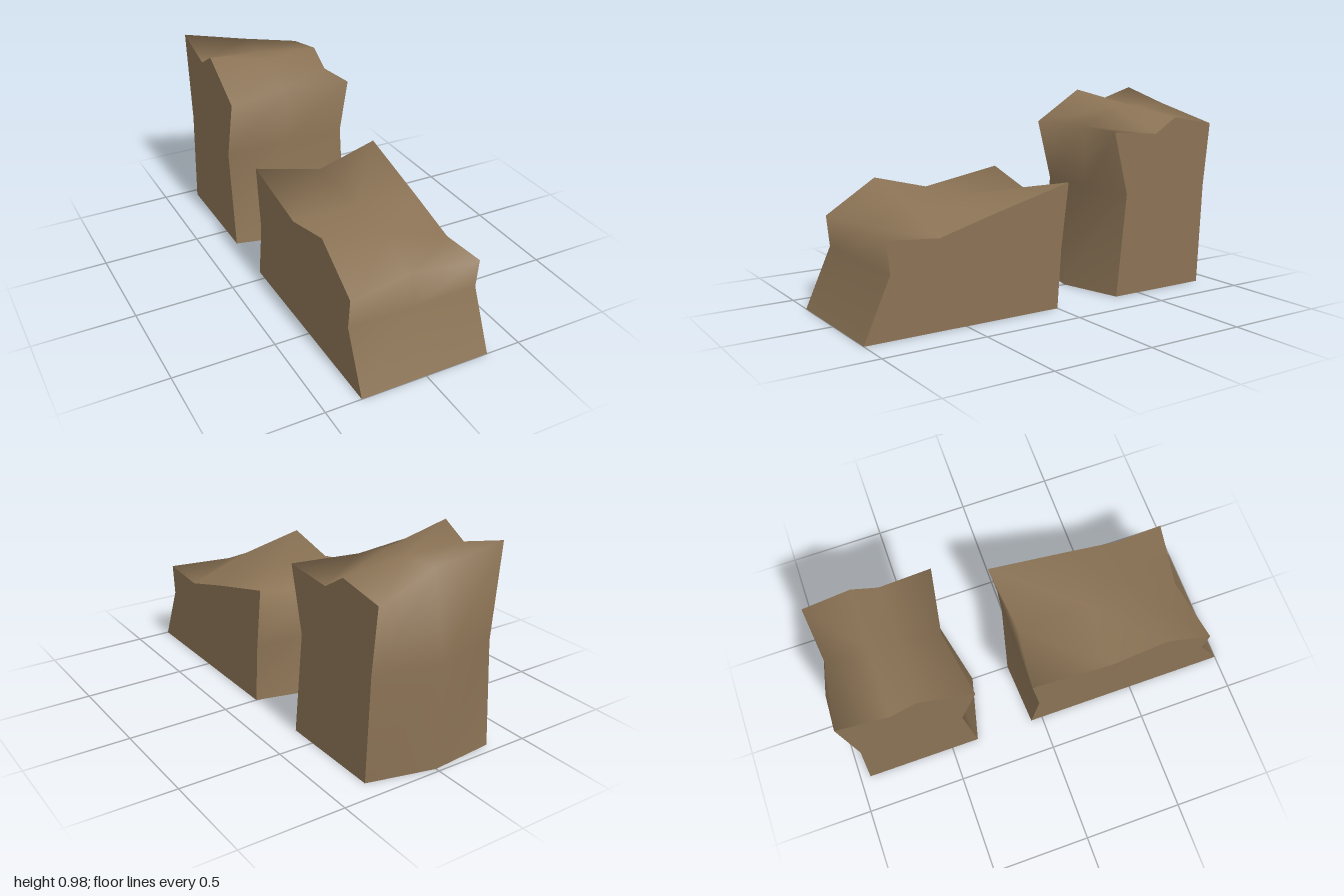
import * as THREE from 'three';

const HALF = 0.325;
const stone = new THREE.MeshStandardMaterial({ color: 0x8b7355, side: THREE.DoubleSide });
stone.name = 'brown stone';

// Smooth shell, open underneath, lofted through [z, y] profiles running front to back
function shell(profiles) {
  const n = profiles[0].length;
  const positions = [];
  const index = [];
  profiles.forEach((profile, i) => {
    const x = -HALF + (2 * HALF * i) / (profiles.length - 1);
    for (const [z, y] of profile) positions.push(x, y, z);
  });
  for (let i = 0; i < profiles.length - 1; i++) {
    for (let j = 0; j < n - 1; j++) {
      const a = i * n + j, b = a + n;
      index.push(a, b, b + 1, a, b + 1, a + 1);
    }
  }
  const geometry = new THREE.BufferGeometry();
  geometry.setAttribute('position', new THREE.Float32BufferAttribute(positions, 3));
  geometry.setIndex(index);
  geometry.computeVertexNormals();
  return geometry;
}

// Flat end wall; side is +1 for the left end and -1 for the right end
function endWall(profile, side) {
  const shape = new THREE.Shape(profile.map(([z, y]) => new THREE.Vector2(-side * z, y)));
  return new THREE.ShapeGeometry(shape)
    .rotateY(side * Math.PI / 2)
    .translate(side * HALF, 0, 0);
}

function block(name, right, middle, left) {
  const group = new THREE.Group();
  group.name = name;
  const add = (part, geometry) => {
    const mesh = new THREE.Mesh(geometry, stone);
    mesh.name = part;
    group.add(mesh);
  };
  add('shell', shell([right, middle, left]));
  add('rightEnd', endWall(right, -1));
  add('leftEnd', endWall(left, 1));
  return group;
}

export function createModel() {
  const model = new THREE.Group();
  model.name = 'rockBlocks';

  // Low, long block at the front
  model.add(block('frontBlock',
    [[1, 0], [0.87, 0.29], [0.885, 0.44], [0.63, 0.6], [0.35, 0.53], [-0.06, 0.602], [-0.02, 0.29], [-0.06, 0]],
    [[1, 0], [0.87, 0.29], [0.83, 0.44], [0.63, 0.53], [0.35, 0.533], [-0.02, 0.537], [-0.02, 0.29], [-0.08, 0]],
    [[1, 0], [0.87, 0.29], [0.885, 0.44], [0.63, 0.42], [0.35, 0.497], [-0.06, 0.602], [-0.02, 0.29], [0, 0]]));

  // Tall, short block at the back
  model.add(block('backBlock',
    [[-0.36, 0], [-0.415, 0.51], [-0.335, 0.82], [-0.595, 0.98], [-0.72, 0.908], [-0.96, 0.98], [-0.92, 0.51], [-0.95, 0]],
    [[-0.28, 0], [-0.415, 0.51], [-0.39, 0.82], [-0.595, 0.908], [-0.72, 0.908], [-0.92, 0.914], [-1, 0.51], [-0.98, 0]],
    [[-0.36, 0], [-0.415, 0.51], [-0.335, 0.82], [-0.595, 0.797], [-0.72, 0.873], [-0.96, 0.83], [-0.925, 0.51], [-0.9, 0]]));

  return model;
}
